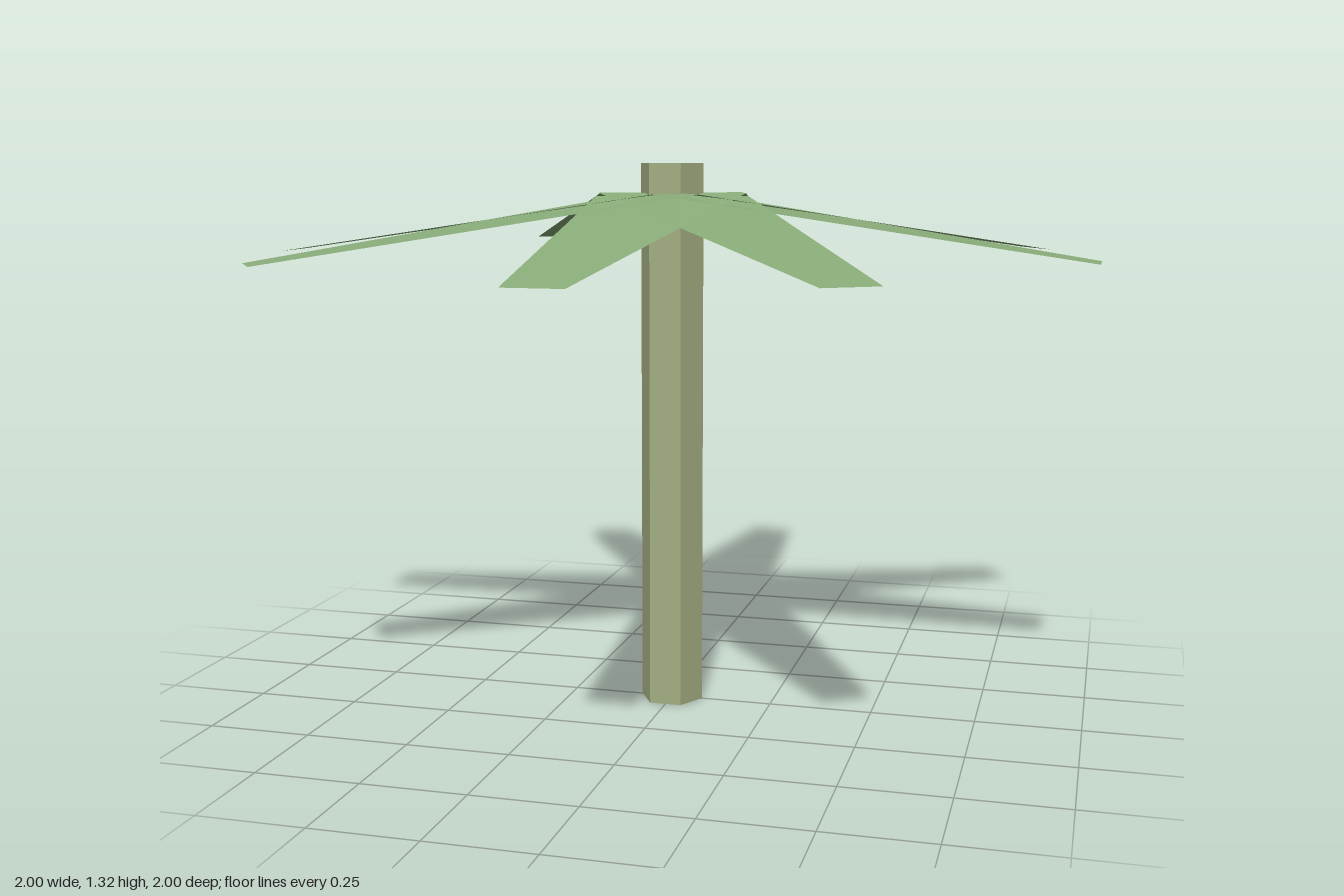
import * as THREE from 'three';

// Flat tapered frond: broad edge at the trunk axis, narrow drooping tip at z = 1
function frondGeometry() {
  const rootHalf = 0.18, tipHalf = 0.065, rootY = 1.25, tipY = 1.1;
  const geometry = new THREE.BufferGeometry();
  geometry.setAttribute('position', new THREE.Float32BufferAttribute([
    -rootHalf, rootY, 0, -tipHalf, tipY, 1,
    tipHalf, tipY, 1, rootHalf, rootY, 0,
  ], 3));
  geometry.setIndex([0, 1, 2, 0, 2, 3]);
  geometry.computeVertexNormals();
  return geometry;
}

export function createModel() {
  const model = new THREE.Group();
  model.name = 'palmTree';

  const bark = new THREE.MeshStandardMaterial({ color: 0xa3ae82, flatShading: true });
  const leaf = new THREE.MeshStandardMaterial({
    color: 0x8aad7a, flatShading: true, side: THREE.DoubleSide,
  });

  // Hexagonal trunk, corners on the x axis, rising through the crown
  const height = 1.32;
  const trunk = new THREE.Mesh(new THREE.CylinderGeometry(0.077, 0.077, height, 6), bark);
  trunk.name = 'trunk';
  trunk.rotation.y = Math.PI / 2;
  trunk.position.y = height / 2;
  model.add(trunk);

  // Crown: two crosses of four fronds, the second turned by 0.6 radians
  const crown = new THREE.Group();
  crown.name = 'crown';
  const geometry = frondGeometry();
  for (const offset of [0, 0.6]) {
    for (let i = 0; i < 4; i++) {
      const frond = new THREE.Mesh(geometry, leaf);
      frond.name = 'frond';
      frond.rotation.y = offset + i * Math.PI / 2;
      crown.add(frond);
    }
  }
  model.add(crown);

  return model;
}
